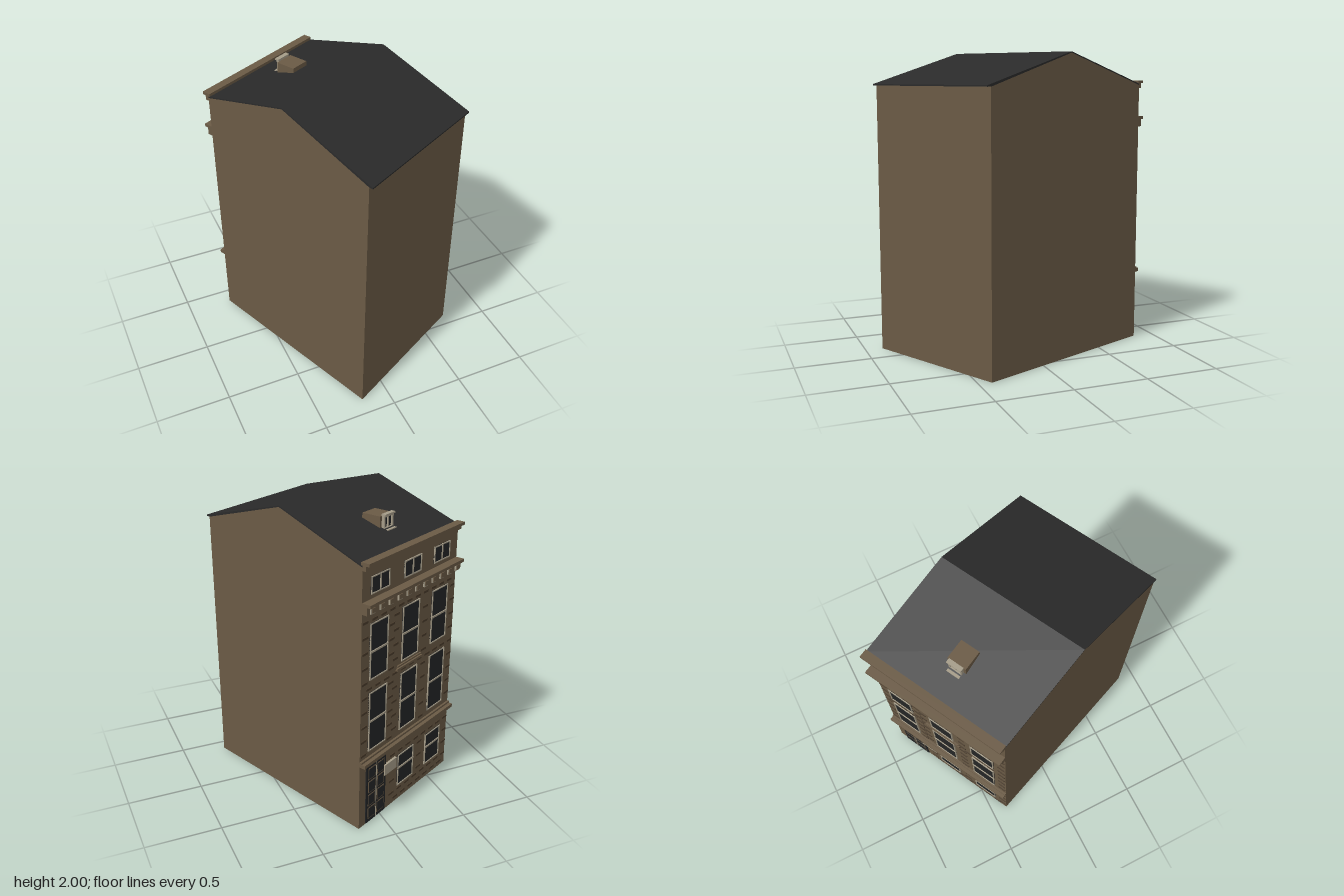
import * as THREE from 'three';

const mat = (name, color) => {
  const m = new THREE.MeshStandardMaterial({ color });
  m.name = name;
  return m;
};

export function createModel() {
  const wall = mat('brownWall', 0x6a5a45);
  const brick = mat('darkBrick', 0x4a3c2c);
  const slate = mat('slateRoof', 0x2a2a2a);
  const glass = mat('darkGlass', 0x242526);
  const trim = mat('paleTrim', 0xa59c88);

  const L = 1.011, D = 1.368, RIDGE = -D / 2;

  // House frame: x runs along the street facade, z points out of it
  const house = new THREE.Group();
  house.name = 'townHouse';
  house.position.set(0.195, 0, -0.86);
  house.rotation.y = Math.atan2(-0.465, -0.885);

  const group = (name, parent = house) => {
    const g = new THREE.Group();
    g.name = name;
    parent.add(g);
    return g;
  };

  // Box given by its low and high corners
  const box = (parent, name, m, x0, x1, y0, y1, z0, z1) => {
    const mesh = new THREE.Mesh(new THREE.BoxGeometry(x1 - x0, y1 - y0, z1 - z0), m);
    mesh.position.set((x0 + x1) / 2, (y0 + y1) / 2, (z0 + z1) / 2);
    mesh.name = name;
    parent.add(mesh);
    return mesh;
  };

  // Side profile of (z, y) points run along the facade; the plot is slightly skewed
  const skew = new THREE.Matrix4().set(1, 0, -0.1, 0, 0, 1, 0, 0, 0, 0, 1, 0, 0, 0, 0, 1);
  const profile = (name, m, pts) => {
    const shape = new THREE.Shape(pts.map(p => new THREE.Vector2(p[0], p[1])));
    const g = new THREE.ExtrudeGeometry(shape, { depth: L, bevelEnabled: false });
    g.rotateY(-Math.PI / 2).translate(L, 0, 0).applyMatrix4(skew);
    const mesh = new THREE.Mesh(g, m);
    mesh.name = name;
    house.add(mesh);
  };

  // Gabled body and thin roof
  profile('walls', wall, [[0, 0], [0, 1.785], [RIDGE, 1.992], [-D, 1.785], [-D, 0]]);
  profile('roof', slate, [[0, 1.785], [0, 1.794], [RIDGE, 2], [-D - 0.027, 1.794],
    [-D - 0.027, 1.785], [-D, 1.785], [RIDGE, 1.992]]);

  // Horizontal mouldings
  const mouldings = group('mouldings');
  box(mouldings, 'eavesLower', wall, 0, L, 1.765, 1.797, 0, 0.025);
  box(mouldings, 'eavesUpper', wall, 0, L, 1.797, 1.816, -0.01, 0.048);
  box(mouldings, 'corniceBand', wall, 0, L, 1.50, 1.55, 0, 0.035);
  box(mouldings, 'corniceTop', wall, 0, L, 1.55, 1.57, 0, 0.06);
  box(mouldings, 'stringCourse', wall, 0, L, 0.468, 0.492, 0, 0.04);
  box(mouldings, 'stringCourseTop', wall, 0, L, 0.492, 0.505, 0, 0.015);
  box(mouldings, 'middleLedge', wall, 0.36, 0.64, 0.995, 1.01, 0, 0.012);
  box(mouldings, 'middleLedgeTop', wall, 0.37, 0.63, 1.018, 1.028, 0, 0.01);

  // Cornice blocks with pale edges
  for (let i = 0; i < 11; i++) {
    const x = 0.05 + i * (L - 0.1) / 10;
    box(mouldings, 'corniceBlock', trim, x - 0.021, x + 0.021, 1.502, 1.545, 0.03, 0.044);
    box(mouldings, 'corniceBlockFace', wall, x - 0.015, x + 0.015, 1.508, 1.539, 0.04, 0.049);
  }

  // Rectangular pale frame
  const frame = (g, x0, x1, y0, y1, w, z0, z1) => {
    box(g, 'frameSide', trim, x0, x0 + w, y0, y1, z0, z1);
    box(g, 'frameSide', trim, x1 - w, x1, y0, y1, z0, z1);
    box(g, 'frameTop', trim, x0, x1, y1 - w, y1, z0, z1);
    box(g, 'frameBottom', trim, x0, x1, y0, y0 + w, z0, z1);
  };

  // Windows: rows of sashes, plus the small paired attic lights
  const openings = [];
  const centres = [0.17, 0.502, 0.827];
  const rows = [
    { y0: 0.115, y1: 0.352, bar: 0.25, from: 1 },
    { y0: 0.547, y1: 0.958, bar: 0.755, from: 0 },
    { y0: 1.045, y1: 1.415, bar: 1.23, from: 0 },
    { y0: 1.60, y1: 1.71, bar: 0, from: 0 },
  ];
  for (const r of rows) {
    for (const c of centres.slice(r.from)) {
      const g = group('window');
      const x0 = c - 0.09, x1 = c + 0.09;
      openings.push([x0, x1, r.y0, r.y1]);
      box(g, 'pane', glass, x0, x1, r.y0, r.y1, 0, 0.004);
      frame(g, x0, x1, r.y0, r.y1, 0.007, 0, 0.009);
      if (r.bar) box(g, 'sashBar', trim, x0, x1, r.bar - 0.006, r.bar + 0.006, 0, 0.01);
      else box(g, 'mullion', trim, c - 0.005, c + 0.005, r.y0, r.y1, 0, 0.009);
    }
  }

  // Panelled double door
  const door = group('door');
  const dx0 = 0.065, dx1 = 0.275, dTop = 0.445;
  openings.push([dx0, dx1, 0, dTop]);
  box(door, 'doorLeaves', glass, dx0, dx1, 0.005, dTop, 0, 0.006);
  box(door, 'meetingStile', trim, 0.168, 0.172, 0.005, dTop, 0, 0.009);
  for (const x of [0.085, 0.18]) {
    for (let i = 0; i < 4; i++) {
      const y = 0.03 + i * 0.1;
      box(door, 'panel', wall, x, x + 0.075, y, y + 0.085, 0, 0.008);
      box(door, 'panelFace', glass, x + 0.006, x + 0.069, y + 0.006, y + 0.079, 0, 0.0095);
    }
  }

  // Plain plaque beside the door
  box(house, 'plaque', trim, 0.253, 0.383, 0.28, 0.358, 0, 0.016);
  openings.push([0.253, 0.383, 0.28, 0.358]);

  // Staggered raised bricks, kept clear of openings
  const bricks = group('bricks');
  const clear = (x0, x1, y0, y1) => openings.every(o =>
    x1 < o[0] - 0.008 || x0 > o[1] + 0.008 || y1 < o[2] - 0.008 || y0 > o[3] + 0.008);
  for (const [from, to] of [[0.03, 0.45], [0.53, 1.49]]) {
    let row = 0;
    for (let y = from; y < to; y += 0.05, row++) {
      for (let x = row % 2 ? 0.05 : 0.005; x + 0.055 < L; x += 0.09) {
        if (clear(x, x + 0.055, y, y + 0.015))
          box(bricks, 'brick', brick, x, x + 0.055, y, y + 0.015, 0, 0.005);
      }
    }
  }

  // Roof dormer with a pale window surround
  const dormer = group('dormer');
  const cx = 0.52;
  box(dormer, 'dormerBox', wall, cx - 0.065, cx + 0.065, 1.83, 1.93, -0.35, -0.215);
  box(dormer, 'dormerPane', glass, cx - 0.04, cx + 0.04, 1.85, 1.925, -0.215, -0.208);
  frame(dormer, cx - 0.048, cx + 0.048, 1.845, 1.933, 0.011, -0.215, -0.195);
  box(dormer, 'dormerMullion', trim, cx - 0.005, cx + 0.005, 1.85, 1.93, -0.215, -0.2);
  box(dormer, 'dormerHood', trim, cx - 0.052, cx + 0.052, 1.933, 1.944, -0.215, -0.185);
  box(dormer, 'dormerSill', trim, cx - 0.045, cx + 0.045, 1.838, 1.85, -0.21, -0.168);

  const model = new THREE.Group();
  model.name = 'model';
  model.add(house);
  return model;
}
